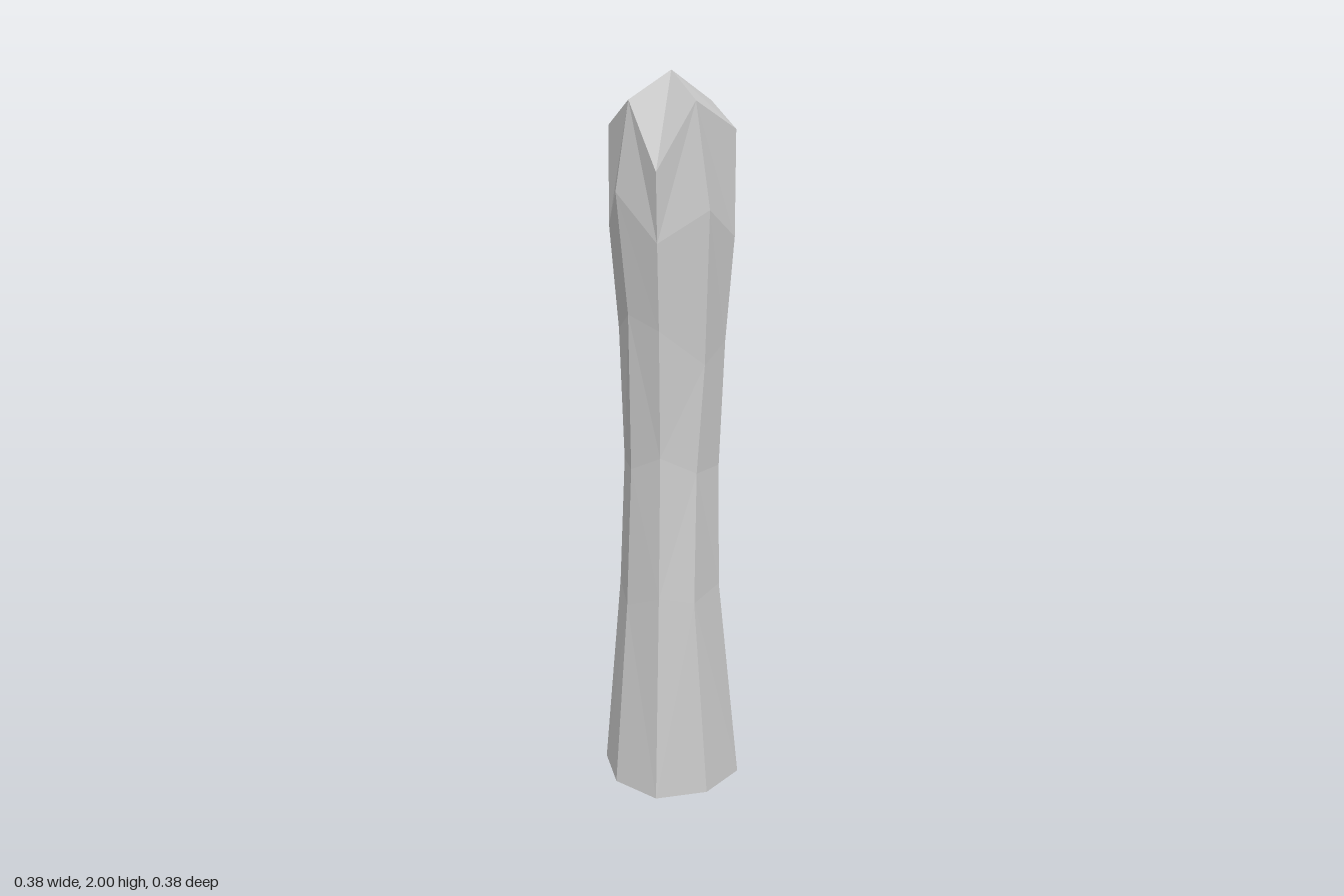
import * as THREE from 'three';

// Eight hand-carved ridges, running round from +x through +z.
// Each point is [outward distance, sideways drift, height], from base to crown.
const ridges = [
  [[0.19, 0, 0], [0.142, 0.02, 0.62], [0.125, 0.006, 1.0], [0.13, 0.02, 1.25], [0.157, 0.016, 1.61], [0.134, -0.015, 1.92]],
  [[0.2, 0, 0], [0.14, 0.01, 0.6], [0.134, 0, 0.95], [0.148, 0, 1.3], [0.17, 0, 1.58], [0.17, 0, 1.855]],
  [[0.19, 0, 0], [0.15, 0.02, 0.58], [0.128, 0, 0.95], [0.134, -0.02, 1.25], [0.158, -0.016, 1.66], [0.135, 0.013, 1.93]],
  [[0.2, 0, 0], [0.157, 0, 0.6], [0.136, 0, 1.0], [0.147, 0, 1.35], [0.165, 0, 1.58], [0.175, 0, 1.76]],
  [[0.19, 0, 0], [0.147, 0, 0.55], [0.13, 0, 0.95], [0.135, 0, 1.38], [0.16, 0.015, 1.7], [0.136, -0.013, 1.93]],
  [[0.2, 0, 0], [0.15, 0, 0.58], [0.134, 0, 0.95], [0.146, 0, 1.32], [0.17, 0, 1.6], [0.168, 0, 1.86]],
  [[0.19, 0, 0], [0.148, 0, 0.57], [0.126, 0, 0.95], [0.132, 0.01, 1.32], [0.157, 0.016, 1.72], [0.136, -0.013, 1.94]],
  [[0.2, 0, 0], [0.148, 0, 0.6], [0.13, 0, 0.85], [0.135, 0, 1.27], [0.165, 0, 1.6], [0.167, 0, 1.87]],
];

export function createModel() {
  const positions = [];
  const addTriangle = (a, b, c) => positions.push(...a, ...b, ...c);

  // Turn the ridge profiles into points in space
  const columns = ridges.map((ridge, i) => {
    const angle = (i * Math.PI) / 4;
    const c = Math.cos(angle), s = Math.sin(angle);
    return ridge.map(([out, drift, y]) => [out * c - drift * s, y, out * s + drift * c]);
  });
  const apex = [0, 2, 0];
  const baseCentre = [0, 0, 0];

  columns.forEach((a, i) => {
    const b = columns[(i + 1) % columns.length];
    const top = a.length - 1;
    // Shaft facets, split so that the cuts meet on the main ridges
    for (let k = 0; k < top; k++) {
      if (i % 2 === 0) {
        addTriangle(a[k], a[k + 1], b[k]);
        addTriangle(a[k + 1], b[k + 1], b[k]);
      } else {
        addTriangle(a[k], b[k + 1], b[k]);
        addTriangle(a[k], a[k + 1], b[k + 1]);
      }
    }
    // Crown and flat base
    addTriangle(a[top], apex, b[top]);
    addTriangle(a[0], b[0], baseCentre);
  });

  const geometry = new THREE.BufferGeometry();
  geometry.setAttribute('position', new THREE.Float32BufferAttribute(positions, 3));
  geometry.computeVertexNormals();

  const post = new THREE.Mesh(
    geometry,
    new THREE.MeshStandardMaterial({ color: 0xcccccc, flatShading: true })
  );
  post.name = 'carvedPost';

  const group = new THREE.Group();
  group.name = 'post';
  group.add(post);
  return group;
}
